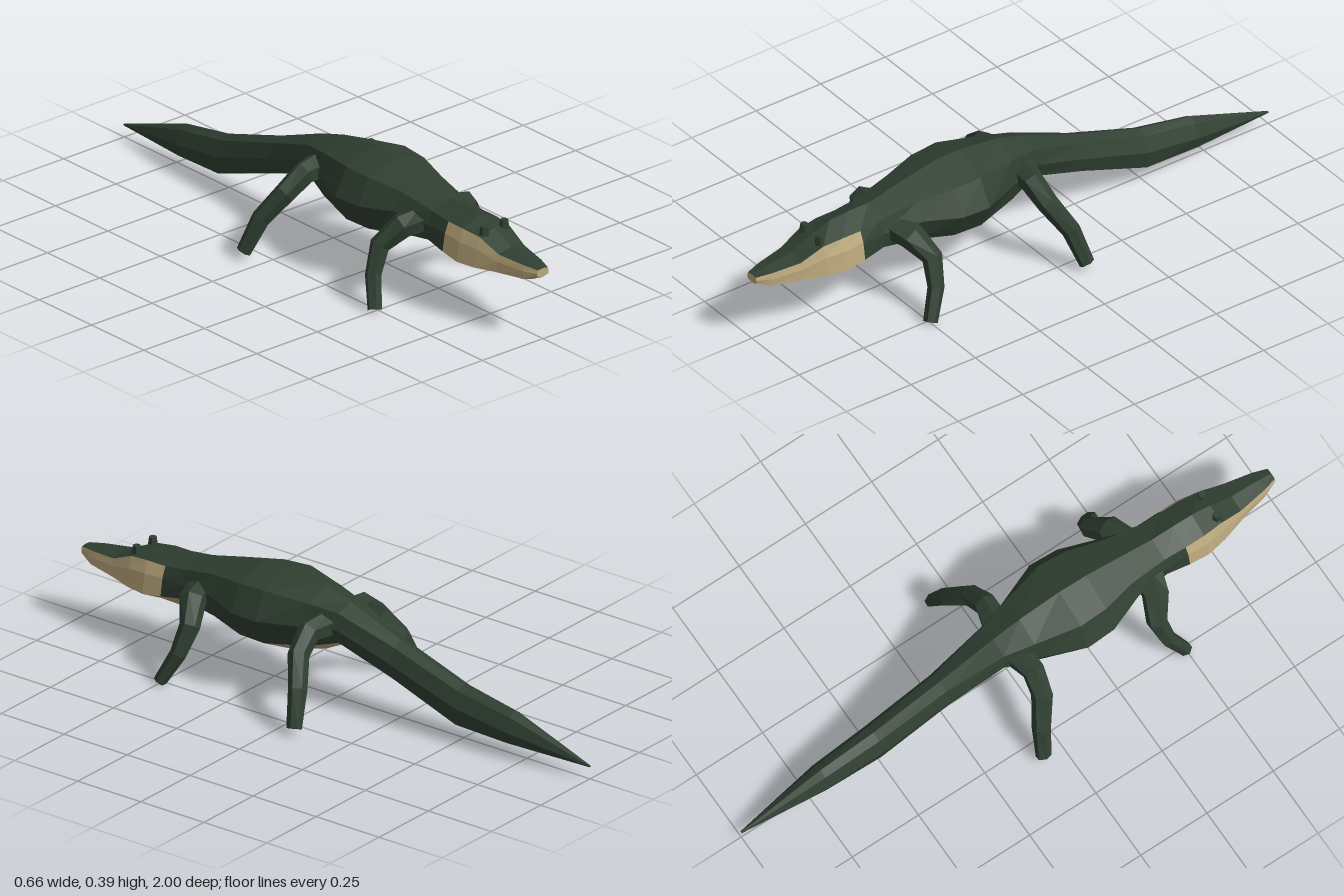
import * as THREE from 'three';

const hide = new THREE.MeshStandardMaterial({ color: 0x2f3f31, flatShading: true });
hide.name = 'darkGreenHide';
const belly = new THREE.MeshStandardMaterial({ color: 0xbba87c, flatShading: true });
belly.name = 'paleBelly';

const V = (x, y, z) => new THREE.Vector3(x, y, z);

// Skins a list of rings; isPale(ring, side) picks the colour of each panel.
function loft(name, rings, isPale, paleEnd) {
  const buckets = [[], []];
  const tri = (pale, ...pts) => pts.forEach((p) => buckets[pale ? 1 : 0].push(p.x, p.y, p.z));
  const n = rings[0].length;
  for (let i = 0; i < rings.length - 1; i++) {
    for (let j = 0; j < n; j++) {
      const k = (j + 1) % n;
      const a = rings[i][j], b = rings[i][k], c = rings[i + 1][k], d = rings[i + 1][j];
      const pale = isPale(i, j);
      tri(pale, a, c, b);
      tri(pale, a, d, c);
    }
  }
  const first = rings[0], last = rings[rings.length - 1];
  for (let j = 1; j < n - 1; j++) {
    tri(false, first[0], first[j], first[j + 1]);
    tri(paleEnd, last[0], last[j + 1], last[j]);
  }
  const group = new THREE.Group();
  group.name = name;
  [[hide, 'Hide'], [belly, 'Underside']].forEach(([material, suffix], m) => {
    const geo = new THREE.BufferGeometry();
    geo.setAttribute('position', new THREE.Float32BufferAttribute(buckets[m], 3));
    geo.computeVertexNormals();
    const mesh = new THREE.Mesh(geo, material);
    mesh.name = name + suffix;
    group.add(mesh);
  });
  return group;
}

// Tail to snout: z, spine y, upper edge x y, flank x y, lower edge x y, keel y
const sections = [
  [-1, 0.046, 0.003, 0.045, 0.004, 0.043, 0.003, 0.041, 0.04],
  [-0.7, 0.15, 0.025, 0.135, 0.045, 0.09, 0.035, 0.05, 0.042],
  [-0.5, 0.185, 0.03, 0.17, 0.052, 0.12, 0.043, 0.06, 0.048],
  [-0.25, 0.265, 0.035, 0.25, 0.055, 0.2, 0.045, 0.15, 0.135],
  [-0.05, 0.342, 0.06, 0.32, 0.075, 0.27, 0.06, 0.22, 0.2],
  [0.05, 0.372, 0.085, 0.335, 0.105, 0.26, 0.085, 0.19, 0.15],
  [0.2, 0.39, 0.12, 0.35, 0.165, 0.26, 0.12, 0.17, 0.11],
  [0.3, 0.385, 0.115, 0.345, 0.16, 0.26, 0.115, 0.17, 0.115],
  [0.42, 0.36, 0.085, 0.33, 0.115, 0.27, 0.09, 0.19, 0.15],
  [0.55, 0.33, 0.07, 0.305, 0.085, 0.26, 0.085, 0.21, 0.15],
  [0.63, 0.33, 0.07, 0.295, 0.085, 0.26, 0.095, 0.2, 0.138],
  [0.7, 0.325, 0.07, 0.295, 0.087, 0.255, 0.098, 0.19, 0.14],
  [0.77, 0.302, 0.063, 0.288, 0.076, 0.25, 0.085, 0.19, 0.16],
  [0.85, 0.265, 0.053, 0.253, 0.06, 0.23, 0.062, 0.195, 0.18],
  [0.95, 0.252, 0.035, 0.245, 0.04, 0.225, 0.04, 0.2, 0.188],
  [1, 0.243, 0.02, 0.24, 0.024, 0.23, 0.022, 0.218, 0.212],
];

function makeBody() {
  const rings = sections.map(([z, yt, xu, yu, xm, ym, xl, yl, yb]) => [
    V(0, yt, z), V(xu, yu, z), V(xm, ym, z), V(xl, yl, z),
    V(0, yb, z), V(-xl, yl, z), V(-xm, ym, z), V(-xu, yu, z),
  ]);
  // Belly is pale everywhere; the jaw sides are pale ahead of the cheeks.
  const isPale = (i, j) => {
    const band = Math.min(j, 7 - j);
    return band === 3 || (band > 0 && sections[i][0] >= 0.63);
  };
  return loft('body', rings, isPale, true);
}

// Six-sided limb along a path of x, y, z, thickness, width
function makeLeg(name, path, side) {
  const centres = path.map(([x, y, z]) => V(x, y, z));
  const rings = path.map(([, , , thick, wide], i) => {
    const t = centres[Math.min(i + 1, path.length - 1)].clone()
      .sub(centres[Math.max(i - 1, 0)]).normalize();
    const across = V(0, 0, 1).addScaledVector(t, -t.z).normalize();
    const outer = across.clone().cross(t);
    const ring = [];
    for (let k = 0; k < 6; k++) {
      const a = (k * Math.PI) / 3;
      const p = centres[i].clone()
        .addScaledVector(outer, Math.cos(a) * thick)
        .addScaledVector(across, -Math.sin(a) * wide);
      p.x *= side;
      p.y = Math.max(p.y, 0);
      ring.push(p);
    }
    return side > 0 ? ring : [ring[0], ...ring.slice(1).reverse()];
  });
  return loft(name, rings, (i, j) => j === 2 || j === 3, false);
}

const frontPath = [
  [0.06, 0.255, 0.49, 0.04, 0.055],
  [0.13, 0.245, 0.475, 0.04, 0.045],
  [0.19, 0.185, 0.44, 0.032, 0.034],
  [0.23, 0.1, 0.455, 0.026, 0.027],
  [0.262, 0.004, 0.5, 0.024, 0.023],
];
const hindPath = [
  [0.05, 0.27, 0.0, 0.045, 0.05],
  [0.135, 0.265, 0.012, 0.04, 0.038],
  [0.2, 0.215, 0.0, 0.036, 0.034],
  [0.262, 0.13, -0.045, 0.032, 0.03],
  [0.312, 0.022, -0.07, 0.021, 0.026],
];

export function createModel() {
  const model = new THREE.Group();
  model.name = 'crocodilian';
  model.add(makeBody());
  for (const side of [1, -1]) {
    const label = side > 0 ? 'left' : 'right';
    model.add(makeLeg(label + 'FrontLeg', frontPath, side));
    model.add(makeLeg(label + 'HindLeg', hindPath, side));
    // Raised eye knob
    const eye = new THREE.Mesh(new THREE.CylinderGeometry(0.013, 0.017, 0.03, 6), hide);
    eye.name = label + 'Eye';
    eye.position.set(0.041 * side, 0.303, 0.767);
    model.add(eye);
  }
  return model;
}
